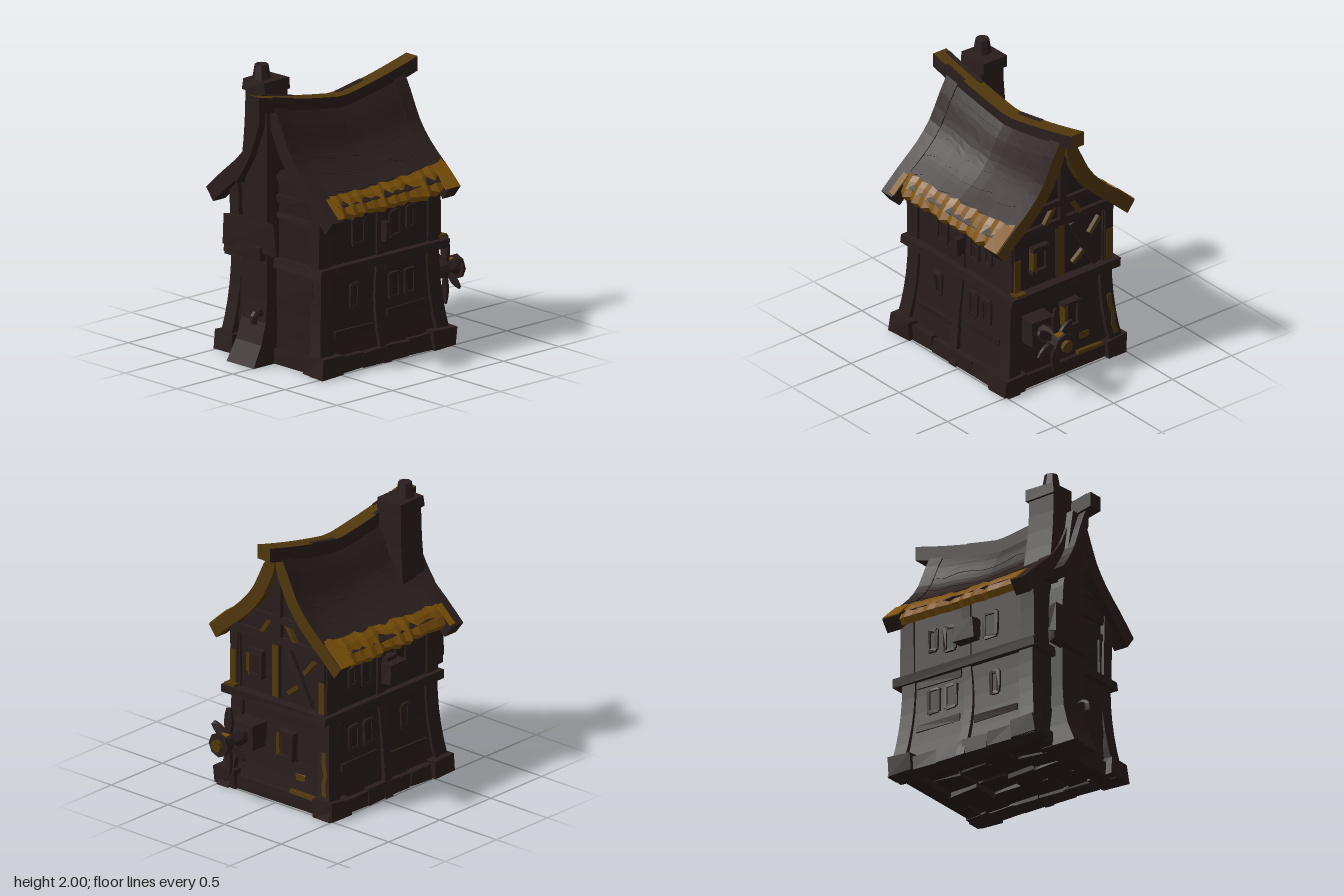
import * as THREE from 'three';

const mat = (name, color) => {
  const m = new THREE.MeshStandardMaterial({ color });
  m.name = name;
  return m;
};

let seed = 7;
const rand = () => ((seed = (seed * 16807) % 2147483647) / 2147483647);
const jit = (a) => (rand() - 0.5) * 2 * a;

export function createModel() {
  const model = new THREE.Group();
  model.name = 'house';
  const wall = mat('dark wall', 0x291d1c);
  const wood = mat('dark timber', 0x2a1e1d);
  const thatch = mat('roof brown', 0x2b1f1e);
  const pane = mat('window shadow', 0x251a19);
  const gold = mat('ochre straw', 0x7c5108);
  const bronze = mat('ochre timber', 0x50370d);

  // Faceted mesh
  const add = (name, geo, m, parent = model) => {
    const g = geo.index ? geo.toNonIndexed() : geo;
    g.computeVertexNormals();
    const mesh = new THREE.Mesh(g, m);
    mesh.name = name;
    parent.add(mesh);
    return mesh;
  };
  const mirror = (geo) => {
    geo.scale(-1, 1, 1);
    const a = geo.index.array;
    for (let i = 0; i < a.length; i += 3) [a[i], a[i + 1]] = [a[i + 1], a[i]];
    return geo;
  };
  // Box whose unit coordinates (0..1) are moved by a rule
  const warp = (nx, ny, nz, rule) => {
    const geo = new THREE.BoxGeometry(1, 1, 1, nx, ny, nz);
    const p = geo.attributes.position;
    for (let i = 0; i < p.count; i++) p.setXYZ(i, ...rule(p.getX(i) + 0.5, p.getY(i) + 0.5, p.getZ(i) + 0.5));
    return geo;
  };
  const L = THREE.MathUtils.lerp;
  // Slightly crooked box
  const crooked = (x0, x1, y0, y1, z0, z1, a = 0.006) => {
    const c = Array.from({ length: 8 }, () => [jit(a), jit(a), jit(a)]);
    return warp(1, 1, 1, (u, v, w) => {
      const j = c[Math.round(u) + 2 * Math.round(v) + 4 * Math.round(w)];
      return [L(x0, x1, u) + j[0], Math.max(0, L(y0, y1, v) + j[1]), L(z0, z1, w) + j[2]];
    });
  };
  const box = (name, x0, x1, y0, y1, z0, z1, m = wood, a = 0.006) => add(name, crooked(x0, x1, y0, y1, z0, z1, a), m);
  const flare = (y) => 0.07 * Math.pow(Math.max(0, 1 - y / 0.66), 2);
  const shape = (pts) => new THREE.Shape(pts.map(([x, y]) => new THREE.Vector2(x, y)));

  // Walls of both storeys
  add('lowerWalls', warp(1, 5, 1, (u, v, w) => {
    const y = L(0.08, 0.68, v), f = flare(y) * 0.7;
    return [(u * 2 - 1) * (0.412 + f), y, L(-0.43 - f, 0.57 + f, w)];
  }), wall);
  box('upperWalls', -0.412, 0.412, 0.68, 1.18, -0.45, 0.59, wall, 0);
  add('frontWallTop', new THREE.ExtrudeGeometry(shape([[-0.41, 1.15], [0.41, 1.15], [0.27, 1.27], [0.23, 1.31], [-0.23, 1.31], [-0.27, 1.27]]),
    { depth: 0.04, bevelEnabled: false }).translate(0, 0, 0.555), wall);
  box('floorBand', -0.455, 0.465, 0.66, 0.725, -0.52, 0.64);
  box('frontBeam', 0, 0.26, 1.25, 1.29, 0.58, 0.615);
  box('frontBeam', 0, 0.38, 1.1, 1.16, 0.58, 0.615);

  // Back gable, facing outward only
  const gable = shape([[-0.41, 1.15], [0.41, 1.15], [0.27, 1.27], [0.15, 1.42], [0.07, 1.56], [0.02, 1.7], [-0.02, 1.7],
    [-0.07, 1.56], [-0.15, 1.42], [-0.27, 1.27]]);
  add('backGable', new THREE.ShapeGeometry(gable).rotateY(Math.PI).translate(0, 0, -0.45), wall);

  // Foundation stones around an uneven floor
  box('backFooting', -0.46, 0.46, 0, 0.1, -0.49, -0.38, wall);
  box('frontFooting', -0.46, 0.46, 0, 0.1, 0.52, 0.64, wall);
  for (let i = 0; i < 4; i++)
    for (let k = 0; k < 4; k++)
      box('floorStone', -0.38 + i * 0.19, -0.2 + i * 0.19, 0.03 + jit(0.025), 0.1, -0.4 + k * 0.24, -0.17 + k * 0.24, wall, 0.015);
  for (const s of [-1, 1]) {
    for (const [z0, z1] of [[-0.52, -0.33], [0.49, 0.68]])
      box('cornerStone', s > 0 ? 0.34 : -0.52, s > 0 ? 0.52 : -0.34, 0, 0.13, z0, z1, wood, 0.012);
    for (let i = 0; i < 4; i++) {
      const z = -0.33 + i * 0.205;
      box('sideStone', s > 0 ? 0.36 : -0.49, s > 0 ? 0.49 : -0.36, 0, 0.115 + jit(0.015), z, z + 0.2, wood, 0.008);
    }
  }

  // Flared posts along both sides
  for (const flip of [false, true]) {
    const side = (g) => (flip ? mirror(g) : g);
    for (const [z0, z1, out] of [[-0.455, -0.35, -1], [0.03, 0.1, 0], [0.5, 0.61, 1]]) {
      add('lowerPost', side(warp(1, 6, 1, (u, v, w) => {
        const y = v * 0.67, f = flare(y);
        return [L(out ? 0.33 : 0.39, 0.43, u) + f, y, L(z0, z1, w) + out * f + (out ? 0 : 0.03 * Math.sin(v * 3))];
      })), wood);
      add('upperPost', side(warp(1, 4, 1, (u, v, w) =>
        [L(out ? 0.34 : 0.39, 0.425, u) + 0.012 * v * v, L(0.7, 1.19, v), L(z0, z1, w) + out * 0.012])), wood);
    }
    // Side windows: frame, pane and sill
    for (const [z, y, w, h] of [[0.26, 0.92, 0.1, 0.17], [-0.07, 0.91, 0.08, 0.16], [-0.21, 0.93, 0.06, 0.14],
      [0.3, 0.49, 0.06, 0.15], [-0.06, 0.49, 0.08, 0.16], [-0.2, 0.49, 0.08, 0.16]]) {
      const out = 0.428 + flare(y);
      for (const e of [-1, 1])
        add('windowJamb', side(crooked(0.39, out, y - h / 2, y + h / 2, z + e * w / 2 - 0.012, z + e * w / 2 + 0.012, 0.004)), wood);
      for (const e of [-1, 1])
        add('windowRail', side(crooked(0.39, out, y + e * h / 2 - 0.012, y + e * h / 2 + 0.012, z - w / 2, z + w / 2, 0.004)), wood);
      add('windowPane', side(crooked(out - 0.016, out - 0.009, y - h / 2, y + h / 2, z - w / 2, z + w / 2, 0)), pane);
    }
    // A few planks in the side panels
    for (const [z0, z1, y] of [[-0.34, 0.02, 0.29], [-0.34, 0.02, 0.61], [0.14, 0.49, 0.23]])
      add('sidePlank', side(crooked(0.38, 0.42 + flare(y) * 0.75, y, y + 0.05, z0, z1, 0.006)), wall);
  }
  box('shutter', 0.41, 0.48, 0.82, 0.95, 0.03, 0.07);
  box('windowBox', -0.53, -0.45, 0.81, 0.95, 0.04, 0.2);
  box('windowBoxBracket', -0.47, -0.4, 0.86, 0.98, 0.07, 0.17);

  // Roof: sagging ridge, concave slopes
  const ridge = (z) => {
    const d = Math.abs(z - 0.05);
    return z > 0.05 ? 0.13 * d + 0.075 * d * d : 0.15 * d + 0.09 * d * d;
  };
  const curve = new THREE.CatmullRomCurve3([[0.02, 1.69], [0.1, 1.57], [0.19, 1.41], [0.3, 1.3], [0.45, 1.195], [0.6, 1.08]]
    .map(([x, y]) => new THREE.Vector3(x, y, 0)));
  const slope = (t, z, off) => {
    const p = curve.getPoint(t), d = curve.getTangent(t);
    return [Math.max(0.005, p.x - d.y * off), p.y + d.x * off + ridge(z) * (1 - t), z];
  };
  for (const flip of [false, true]) {
    const side = (g) => (flip ? mirror(g) : g);
    add('roofSlope', side(warp(12, 1, 12, (u, v, w) => slope(u * 0.89, L(-0.49, 0.65, w), v ? 0 : -0.055))), thatch);
    // Overlapping courses with uneven lower edges
    for (let k = 1; k < 5; k++) {
      const edge = Array.from({ length: 13 }, () => jit(0.03));
      add('roofCourse', side(warp(3, 1, 12, (u, v, w) =>
        slope(k * 0.16 + u * (0.15 + edge[Math.round(w * 12)]), L(-0.495, 0.655, w), v ? 0.001 + 0.003 * u : -0.03))), thatch);
    }
    // Ragged drooping straw along the eave, lower toward the front
    const low = Array.from({ length: 23 }, (_, i) => (i % 2 ? 0.008 : -0.008) + jit(0.014));
    const high = Array.from({ length: 23 }, () => jit(0.018));
    add('eaveStraw', side(warp(3, 1, 22, (u, v, w) => {
      const i = Math.round(w * 22);
      const [x, y, z] = slope(L(0.755 + high[i] + 0.05 * w, 0.93 + low[i], u), L(-0.49, 0.56, w), (v ? 0.014 : -0.035) + low[i] * 0.3);
      return [x - 0.012 * u * u, y - 0.042 * u * u, z];
    })), gold);
    // Verge boards at both ends
    add('frontVergeBoard', side(warp(10, 1, 1, (u, v, w) => slope(u, L(0.56, 0.67, w), v ? 0.008 : -0.1))), wood);
    add('backVergeBoard', side(warp(10, 1, 1, (u, v, w) => slope(u * 0.97, L(-0.505, -0.4, w), v ? 0.008 : -0.09))),
      [wood, wood, wood, bronze, wood, bronze]);
    add('backVergeStraw', side(warp(2, 1, 1, (u, v, w) => slope(L(0.77, 0.97, u), L(-0.5, -0.4 + 0.03 * u, w), v ? 0.016 : 0.007))), gold);
    add('frontVergeStraw', side(warp(2, 1, 1, (u, v, w) => slope(L(0.82, 0.985, u), L(0.55, 0.6, w), v ? 0.016 : 0.007))), gold);
  }
  add('ridgeBeam', warp(1, 1, 16, (u, v, w) => {
    const z = L(-0.62, 0.81, w);
    return [L(-0.06, 0.05, u), 1.62 + v * 0.1 + ridge(z), z];
  }), [wood, wood, bronze, wood, wood, bronze]);
  // Bare patches on the ridge
  for (const [x0, x1, z0, z1] of [[-0.06, -0.025, -0.2, 0.03], [-0.06, -0.03, 0.42, 0.78], [0.03, 0.05, 0.5, 0.68]])
    add('ridgePatch', warp(1, 1, 6, (u, v, w) => {
      const z = L(z0, z1, w);
      return [L(x0, x1, u), 1.718 + v * 0.007 + ridge(z), z];
    }), wood);

  // Chimney rising through the slope, with cap and pot
  add('chimney', warp(1, 5, 1, (u, v, w) => {
    const f = (1 - v) ** 2;
    return [L(-0.25 - 0.06 * f, -0.06, u), L(1.2, 1.83, v), L(0.45 - 0.03 * f, 0.65, w)];
  }), wood);
  box('chimneyCap', -0.27, -0.06, 1.82, 1.9, 0.43, 0.66);
  add('chimneyPot', new THREE.CylinderGeometry(0.045, 0.062, 0.1, 8).translate(-0.175, 1.95, 0.575), wood);

  // Front column with spreading foot, and the outer board beside it
  add('frontColumn', warp(2, 12, 1, (u, v, w) => {
    const y = v * 1.74, f = Math.max(0, 1 - y / 0.42) ** 2;
    return [L(-0.22 - 0.03 * f + Math.max(0, y - 1.1) * 0.18, 0.01, u), y, L(0.56, 0.7 + 0.12 * f, w)];
  }), wood);
  add('outerVergeBoard', mirror(warp(8, 1, 1, (u, v, w) => {
    const [x, y, z] = slope(u * 0.6, L(0.66, 0.755, w), v ? -0.01 : -0.085);
    return [x * 0.95, y - 0.08 * u, z];
  })), wood);
  box('frontPlank', -0.35, 0.11, 0.77, 0.98, 0.69, 0.735, wood, 0.02);
  box('frontPlank', -0.36, 0.0, 0.71, 0.81, 0.685, 0.745, wood, 0.012);
  const hook = new THREE.CatmullRomCurve3([[0.69, 0.345], [0.74, 0.36], [0.77, 0.34], [0.775, 0.29]].map(([z, y]) => new THREE.Vector3(-0.04, y, z)));
  add('hook', new THREE.TubeGeometry(hook, 6, 0.025, 6), wood);

  // Planked front wall
  for (let i = 0; i < 6; i++)
    for (const [x0, x1] of [[0.01, 0.35], [-0.35, -0.2]])
      box('frontBoard', x0, x1, 0.1 + i * 0.093, 0.19 + i * 0.093, 0.55, 0.61 + jit(0.006), wall, 0.004);
  box('frontBrace', 0.31, 0.34, 0.73, 1.02, 0.57, 0.61);
  box('frontRail', 0.0, 0.35, 0.99, 1.03, 0.57, 0.61);

  // Timbers on the back
  const backBar = (name, x, y, w, h, angle, m, depth = 0.04) => {
    const b = add(name, new THREE.BoxGeometry(w, h, depth), m);
    b.position.set(x, y, -0.44 - depth / 2);
    b.rotation.z = angle;
  };
  backBar('tieBeam', 0, 1.14, 0.82, 0.06, 0, wood);
  backBar('collarBeam', 0, 1.29, 0.48, 0.045, 0, wood);
  backBar('kingPost', 0, 1.4, 0.05, 0.46, 0, wood);
  backBar('middlePost', 0.02, 0.93, 0.055, 0.38, 0, [wood, wood, wood, wood, wood, bronze]);
  for (const s of [-1, 1]) {
    backBar('cornerPost', s * 0.385, 0.92, 0.06, 0.42, 0, wood);
    backBar('cornerPostStraw', s * 0.39, s > 0 ? 0.85 : 0.84, 0.05, s > 0 ? 0.26 : 0.22, 0, bronze, 0.045);
    backBar('gableStrut', s * 0.11, 1.22, 0.03, 0.14, s * 0.6, bronze);
  }
  backBar('brace', -0.18, 0.92, 0.05, 0.42, -0.5, wood);
  backBar('brace', -0.27, 1.02, 0.03, 0.13, 0.7, bronze);
  backBar('brace', -0.13, 0.83, 0.03, 0.11, 0.9, bronze);
  box('cornerBracket', 0.35, 0.43, 0.725, 0.745, -0.525, -0.45, bronze, 0.003);
  for (const [x, y] of [[0.2, 0.93], [-0.07, 0.42]]) {
    box('backWindowPane', x - 0.05, x + 0.05, y - 0.08, y + 0.08, -0.472, -0.464, pane, 0);
    for (const e of [-1, 1]) {
      box('backWindowJamb', x + e * 0.055 - 0.014, x + e * 0.055 + 0.014, y - 0.09, y + 0.09, -0.495, -0.42, e > 0 ? bronze : wood, 0.004);
      box('backWindowRail', x - 0.07, x + 0.07, y + e * 0.085 - 0.014, y + e * 0.085 + 0.014, -0.495, -0.42, wood, 0.004);
    }
  }
  // Straw patches on the lower back wall
  add('postPatch', warp(1, 4, 1, (u, v, w) => {
    const y = L(0.16, 0.45, v);
    return [L(-0.41, -0.375, u) - flare(y) + 0.01 * Math.sin(v * 9), y, L(-0.463, -0.455, w) - flare(y)];
  }), bronze);
  box('footingPatch', -0.33, -0.12, 0.1, 0.125, -0.492, -0.45, bronze, 0.008);
  box('wallPatch', -0.23, -0.15, 0.2, 0.24, -0.468, -0.46, bronze, 0.004);

  // Wind wheel on the back: bearing box, axle, hub and blades
  box('bearingBox', 0.14, 0.33, 0.34, 0.52, -0.56, -0.42);
  const rod = (name, r, z0, z1, m = wood) =>
    add(name, new THREE.CylinderGeometry(r, r, z1 - z0, 8).rotateX(Math.PI / 2).translate(0.24, 0.43, (z0 + z1) / 2), m);
  rod('axle', 0.058, -0.785, -0.54);
  rod('axleCollar', 0.085, -0.795, -0.775);
  rod('axleTip', 0.042, -0.825, -0.79, bronze);
  box('axleStraw', 0.21, 0.27, 0.484, 0.49, -0.77, -0.71, gold, 0);
  for (const [deg, len] of [[90, 0.235], [35, 0.17], [145, 0.17], [270, 0.235], [215, 0.17], [325, 0.17]]) {
    const blade = add('blade', warp(4, 1, 1, (u, v, w) =>
      [0.03 + u * (len - 0.03), (v - 0.5) * (0.015 + 0.045 * Math.sin(u * 2.9)), (w - 0.5) * (0.03 - 0.015 * u) + (v - 0.5) * 0.01]), wood);
    blade.position.set(0.24, 0.43, -0.69);
    blade.rotation.z = (deg * Math.PI) / 180;
  }
  return model;
}
